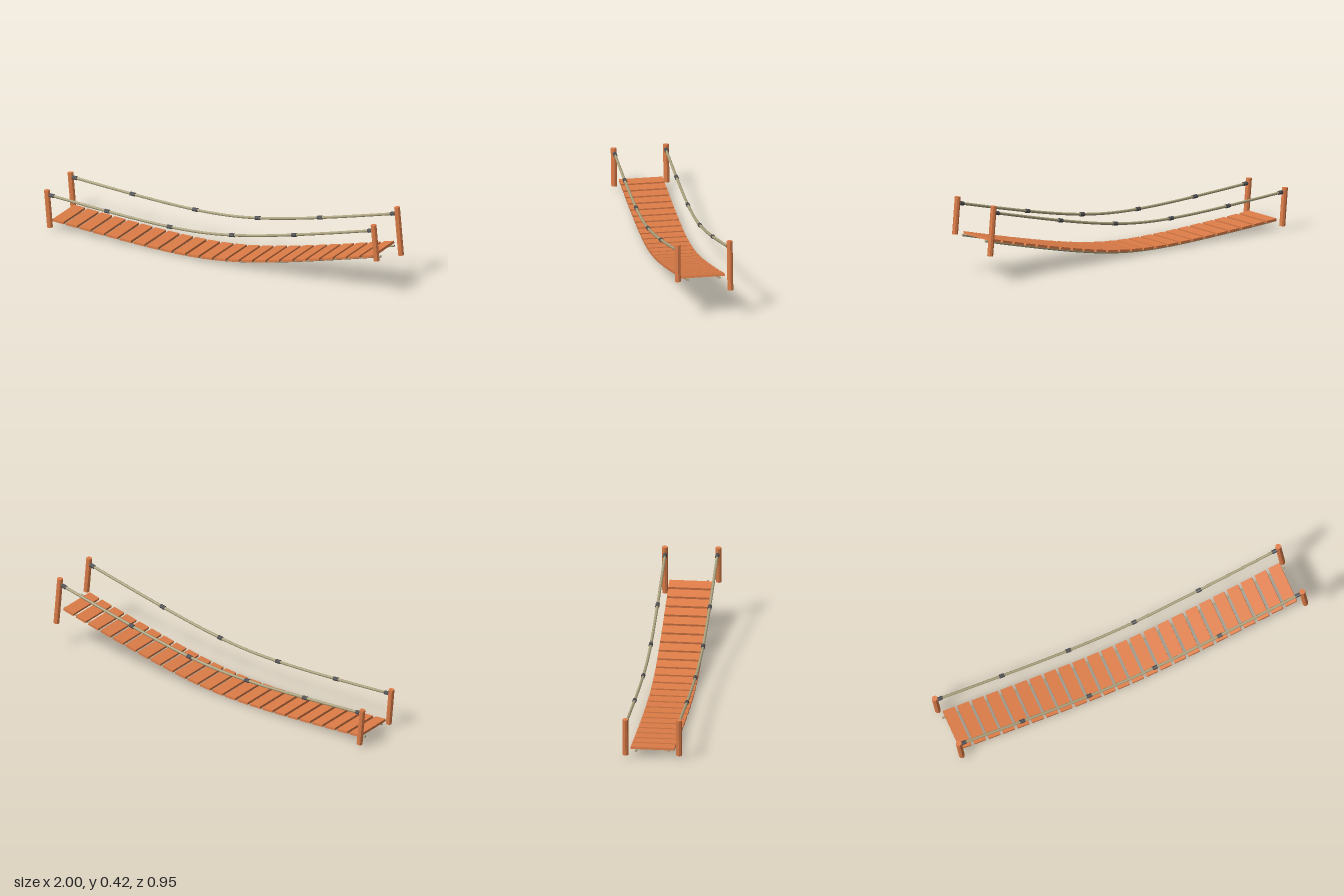
import * as THREE from 'three';

const wood = new THREE.MeshStandardMaterial({ color: 0xde7d48, flatShading: true });
const ropeMat = new THREE.MeshStandardMaterial({ color: 0xaca27e });
const bandMat = new THREE.MeshStandardMaterial({ color: 0x505052, flatShading: true });

// Hanging curve: 1 at mid-span, 0 at the ends, nearly straight beyond the middle
const ROUND = 0.4;
const hang = (u, half) =>
  1 - (Math.hypot(u / half, ROUND) - ROUND) / (Math.hypot(1, ROUND) - ROUND);
const BOW = 0.012; // slight sideways bow at mid-span
const spanPoint = (u, { half, depth, y, z }) =>
  new THREE.Vector3(u, y - depth * hang(u, half), z + BOW * hang(u, half));

function addMesh(parent, name, geometry, material) {
  const mesh = new THREE.Mesh(geometry, material);
  mesh.name = name;
  parent.add(mesh);
  return mesh;
}

// Mesh placed on a span and tilted along its slope
function addOnSpan(parent, name, geometry, material, u, span) {
  const mesh = addMesh(parent, name, geometry, material);
  mesh.position.copy(spanPoint(u, span));
  const step = spanPoint(u + 0.01, span).sub(spanPoint(u - 0.01, span));
  mesh.rotation.z = Math.atan2(step.y, step.x);
}

// Sagging rope with closed ends
function addRope(parent, name, reach, shift, radius, span) {
  const points = [];
  for (let i = 0; i <= 16; i++) points.push(spanPoint(shift + reach * (i / 8 - 1), span));
  const curve = new THREE.CatmullRomCurve3(points);
  const rope = addMesh(parent, name, new THREE.TubeGeometry(curve, 48, radius, 8), ropeMat);
  for (const end of [0, 1]) {
    const cap = addMesh(rope, name + 'End', new THREE.CircleGeometry(radius, 8), ropeMat);
    const dir = curve.getTangentAt(end).multiplyScalar(end ? 1 : -1);
    cap.position.copy(curve.getPointAt(end));
    cap.quaternion.setFromUnitVectors(new THREE.Vector3(0, 0, 1), dir);
  }
}

export function createModel() {
  const model = new THREE.Group();
  model.name = 'ropeBridge';

  // The bridge runs along local x, then climbs and turns as a whole
  const bridge = new THREE.Group();
  bridge.name = 'bridge';
  bridge.rotation.set(0, THREE.MathUtils.degToRad(19.6), THREE.MathUtils.degToRad(5.2), 'YZX');
  bridge.position.y = 0.137;
  model.add(bridge);

  // Deck planks following the sag
  const deck = { half: 0.93, depth: 0.106, y: 0, z: 0 };
  const planks = new THREE.Group();
  planks.name = 'planks';
  bridge.add(planks);
  const plankGeometry = new THREE.BoxGeometry(0.065, 0.013, 0.23);
  const count = 24;
  for (let i = 0; i < count; i++) {
    addOnSpan(planks, 'plank', plankGeometry, wood, deck.half * ((2 * i) / (count - 1) - 1), deck);
  }

  const bandGeometry = new THREE.CylinderGeometry(0.011, 0.011, 0.028, 8).rotateZ(Math.PI / 2);
  for (const side of [-1, 1]) {
    const shift = side > 0 ? 0.016 : 0; // the front side sits slightly further along

    // Rope carrying the planks
    addRope(bridge, 'deckRope', 0.978, shift, 0.006, { ...deck, y: -0.0125, z: side * 0.085 });

    // Hand rope with dark bands
    const rail = { half: 0.965, depth: 0.111, y: 0.155, z: side * 0.137 };
    addRope(bridge, 'handRope', 0.972, shift, 0.0075, rail);
    for (const u of [shift - 0.956, -0.61, -0.235, 0.14, 0.515, shift + 0.956]) {
      addOnSpan(bridge, 'ropeBand', bandGeometry, bandMat, u, rail);
    }

    // End posts; one at the high end reaches further down
    for (const end of [-1, 1]) {
      const top = end > 0 ? 0.192 : 0.18;
      const bottom = end < 0 ? -0.025 : side < 0 ? -0.074 : -0.007;
      const post = addMesh(bridge, 'post',
        new THREE.CylinderGeometry(0.0157, 0.0157, top - bottom, 8), wood);
      post.position.set(end * 0.982 + shift, (top + bottom) / 2, side * 0.14);
    }
  }
  return model;
}
